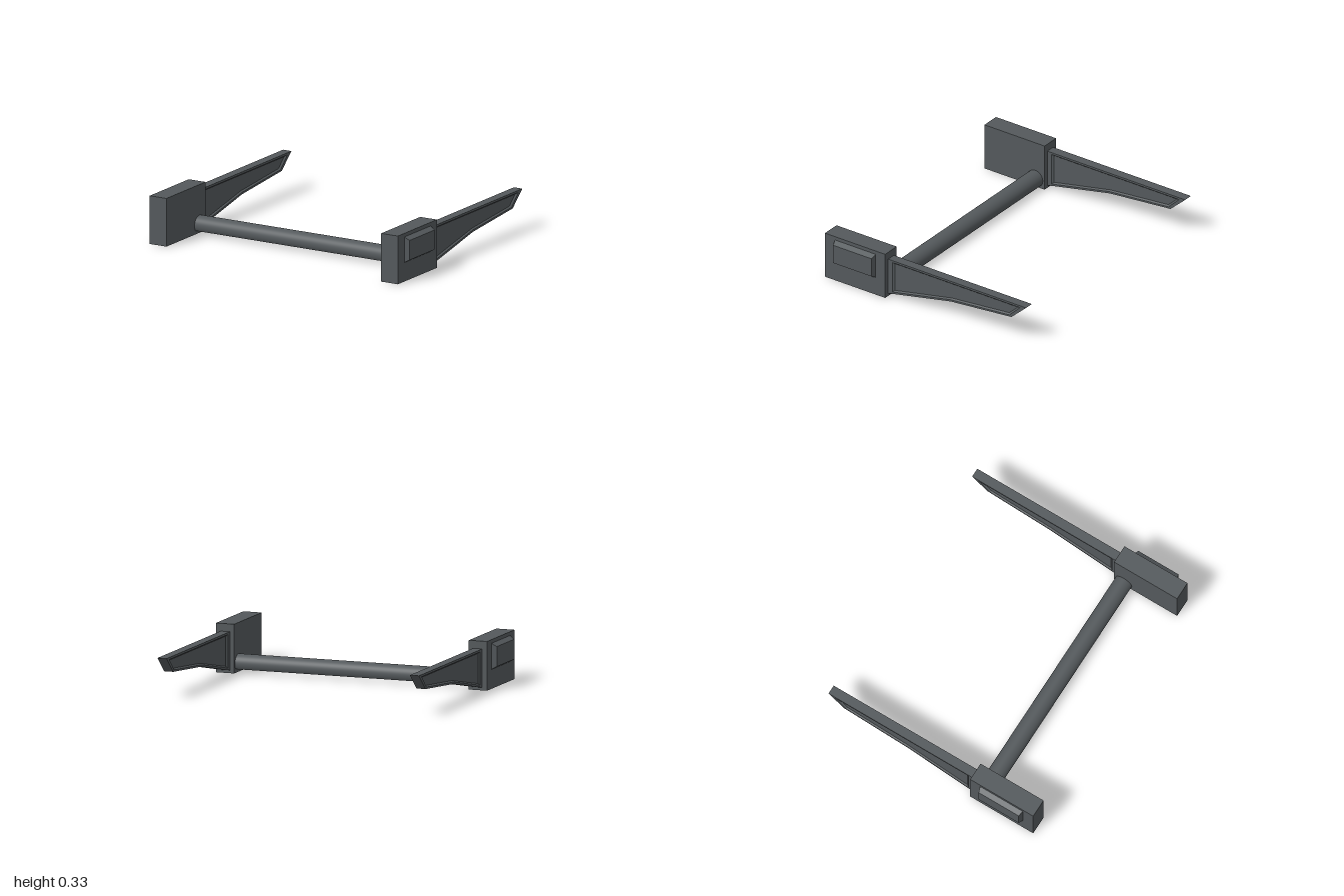
import * as THREE from 'three';

// Skin a stack of [x, [[z, y], ...]] rings and close both ends with fans.
function loft(rings) {
  const pos = [];
  const n = rings[0][1].length;
  const put = (i, j) => {
    const [x, pts] = rings[i];
    pos.push(x, pts[j % n][1], pts[j % n][0]);
  };
  for (let i = 0; i < rings.length - 1; i++) {
    for (let j = 0; j < n; j++) {
      put(i, j); put(i, j + 1); put(i + 1, j + 1);
      put(i, j); put(i + 1, j + 1); put(i + 1, j);
    }
  }
  const last = rings.length - 1;
  for (let j = 1; j < n - 1; j++) {
    put(last, 0); put(last, j); put(last, j + 1);
    put(0, 0); put(0, j + 1); put(0, j);
  }
  const geo = new THREE.BufferGeometry();
  geo.setAttribute('position', new THREE.Float32BufferAttribute(pos, 3));
  geo.computeVertexNormals();
  return geo;
}

export function createModel() {
  const model = new THREE.Group();
  model.name = 'forkFrame';
  const metal = new THREE.MeshStandardMaterial({ color: 0x54595c });
  metal.name = 'dark grey metal';

  const add = (name, geo, x = 0, y = 0, z = 0) => {
    const mesh = new THREE.Mesh(geo, metal);
    mesh.name = name;
    mesh.position.set(x, y, z);
    model.add(mesh);
    return mesh;
  };

  // Tapered fork arm with a shallow recess in each face
  const outline = [[-0.19, 0.125], [-0.685, 0.17], [-0.805, 0.278], [0.325, 0.278], [0.325, 0.018]];
  const rim = [[-0.19, 0.138], [-0.67, 0.181], [-0.755, 0.264], [0.285, 0.264], [0.285, 0.04]];
  const floor = [[-0.19, 0.147], [-0.66, 0.19], [-0.73, 0.255], [0.27, 0.255], [0.27, 0.053]];
  const w = 0.0325, r = 0.022;
  const armGeo = loft([[-r, floor], [-w, rim], [-w, outline], [w, outline], [w, rim], [r, floor]]);

  // Raised side pad with bevelled edges
  const rect = (z, y0, y1) => [[-z, y0], [-z, y1], [z, y1], [z, y0]];
  const padGeo = loft([[0, rect(0.166, 0.13, 0.305)], [0.035, rect(0.156, 0.15, 0.284)]]);

  const blockGeo = new THREE.BoxGeometry(0.13, 0.33, 0.49);

  for (const [side, s] of [['left', 1], ['right', -1]]) {
    add(side + 'Block', blockGeo, s * 0.9, 0.165, 0.564);
    add(side + 'Arm', armGeo, s * 0.898);
    const pad = add(side + 'Pad', padGeo, s * 0.965, 0, 0.562);
    if (s < 0) pad.rotation.y = Math.PI;
  }

  // Round crossbar with a flat underside
  const cut = Math.asin(0.035 / 0.0615);
  const section = new THREE.Shape();
  section.absarc(0, 0, 0.0615, -cut, Math.PI + cut, false);
  section.closePath();
  const barGeo = new THREE.ExtrudeGeometry(section, { depth: 1.68, bevelEnabled: false, curveSegments: 32 });
  barGeo.translate(0, 0, -0.84);
  barGeo.rotateY(Math.PI / 2);
  // Smooth normals around the arc, flat ones below and at the ends
  const p = barGeo.attributes.position, nrm = barGeo.attributes.normal;
  for (let i = 0; i < p.count; i++) {
    if (Math.abs(nrm.getX(i)) > 0.5 || nrm.getY(i) < -0.9) continue;
    const v = new THREE.Vector3(0, p.getY(i), p.getZ(i)).normalize();
    nrm.setXYZ(i, 0, v.y, v.z);
  }
  add('crossbar', barGeo, 0, 0.06, 0.395);

  return model;
}
